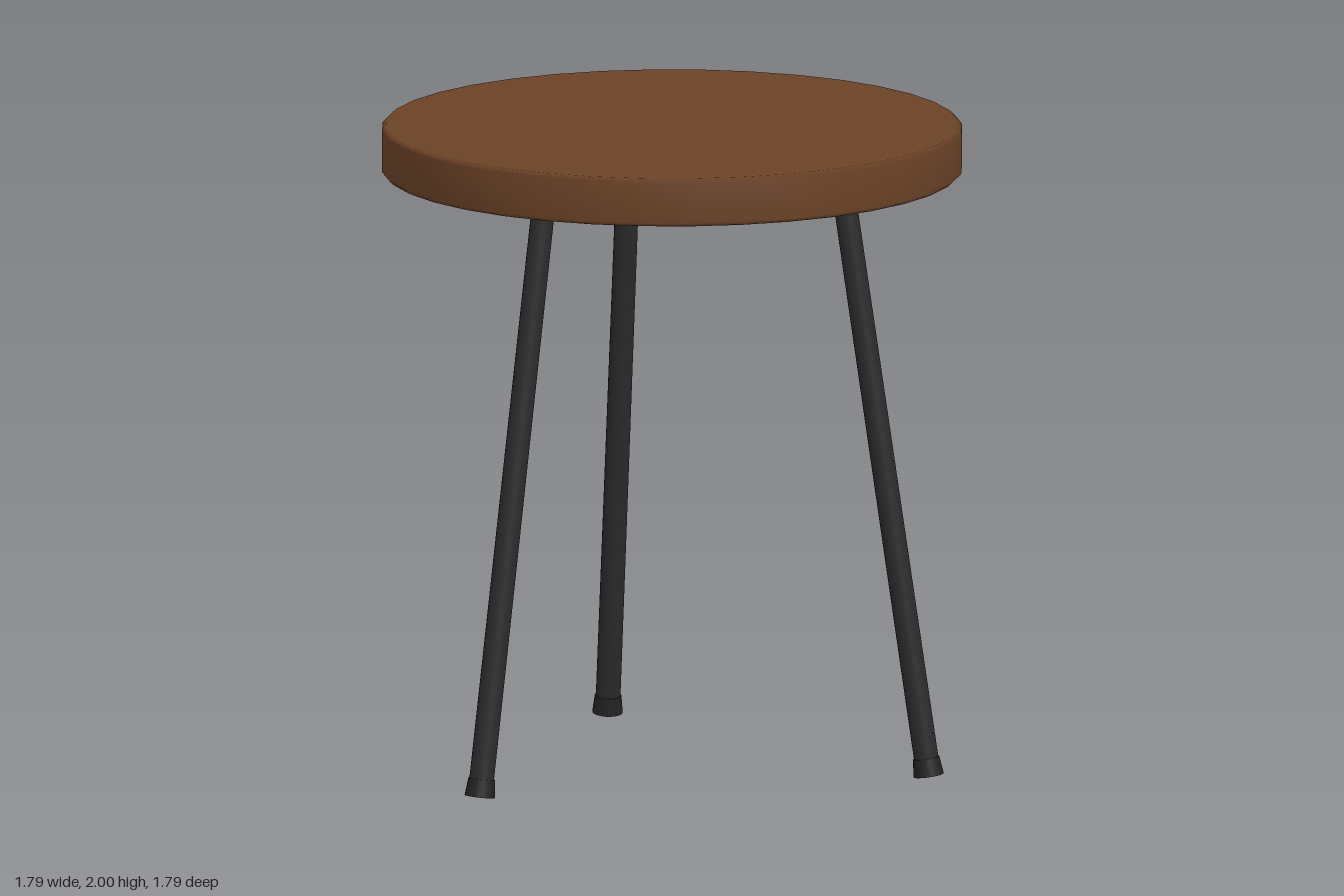
import * as THREE from 'three';

const UP = new THREE.Vector3(0, 1, 0);

export function createModel() {
  const wood = new THREE.MeshStandardMaterial({ color: 0x6b4226 });
  wood.name = 'brown wood';
  const metal = new THREE.MeshStandardMaterial({ color: 0x2b2b2b });
  metal.name = 'dark metal';
  const rubber = new THREE.MeshStandardMaterial({ color: 0x222222 });
  rubber.name = 'black rubber';

  const model = new THREE.Group();
  model.name = 'stool';

  function add(parent, name, geometry, material) {
    const mesh = new THREE.Mesh(geometry, material);
    mesh.name = name;
    parent.add(mesh);
    return mesh;
  }

  // Round seat with a softened rim
  const R = 0.893, low = 1.85, high = 2, b = 0.012;
  const profile = [
    [0, low], [R - b, low], [R, low + b],
    [R, high - b], [R - b, high], [0, high],
  ].map(([x, y]) => new THREE.Vector2(x, y));
  add(model, 'seat', new THREE.LatheGeometry(profile, 36), wood);

  // Three splayed legs: one at the back, two towards the front
  ['backLeg', 'leftLeg', 'rightLeg'].forEach((name, i) => {
    const angle = Math.PI + (i * Math.PI * 2) / 3;
    const at = (r, y) => new THREE.Vector3(Math.sin(angle) * r, y, Math.cos(angle) * r);
    const top = at(0.543, 1.85);
    const bottom = at(0.82, 0.007);
    const length = top.distanceTo(bottom);

    const leg = new THREE.Group();
    leg.name = name;
    model.add(leg);

    // Mounting plate under the seat
    add(leg, 'mountingPlate', new THREE.CylinderGeometry(0.1, 0.1, 0.02, 24), metal)
      .position.copy(at(0.54, 1.842));

    // Tube and foot share the slanted axis
    const slanted = new THREE.Group();
    slanted.name = 'slantedLeg';
    slanted.position.copy(bottom);
    slanted.quaternion.setFromUnitVectors(UP, top.clone().sub(bottom).normalize());
    leg.add(slanted);

    add(slanted, 'legTube', new THREE.CylinderGeometry(0.036, 0.038, length - 0.01, 20), metal)
      .position.y = length / 2 + 0.005;
    add(slanted, 'foot', new THREE.CylinderGeometry(0.041, 0.047, 0.055, 20), rubber)
      .position.y = 0.0275;
  });

  return model;
}
